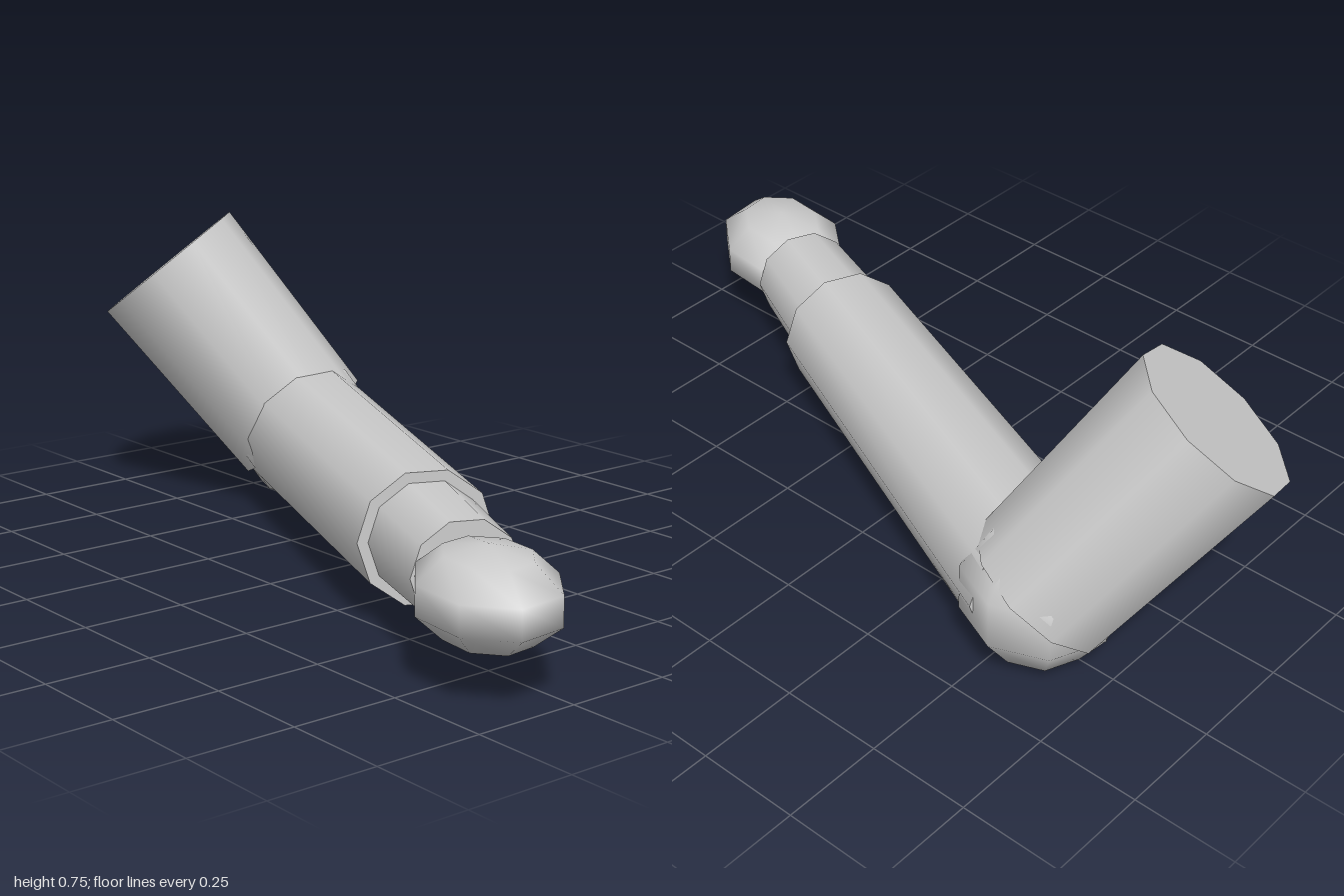
import * as THREE from 'three';

export function createModel() {
  const group = new THREE.Group();
  group.name = 'arm';
  const grey = new THREE.MeshStandardMaterial({ color: 0xcccccc });
  grey.name = 'light grey';

  const add = (name, geometry) => {
    const mesh = new THREE.Mesh(geometry, grey);
    mesh.name = name;
    group.add(mesh);
    return mesh;
  };

  // Ten-sided tapered limb between two points, with one corner pair lying level
  const limb = (name, from, to, rFrom, rTo) => {
    const dir = to.clone().sub(from);
    const mesh = add(name, new THREE.CylinderGeometry(rTo, rFrom, dir.length(), 10));
    dir.normalize();
    const level = dir.clone().cross(new THREE.Vector3(0, 1, 0)).normalize();
    const side = dir.clone().cross(level);
    mesh.quaternion.setFromRotationMatrix(new THREE.Matrix4().makeBasis(side, dir, level));
    mesh.position.copy(from).add(to).multiplyScalar(0.5);
  };

  // Low-poly ball with upright poles
  const ball = (name, center, rx, ry, rz, turn = 0) => {
    const mesh = add(name, new THREE.SphereGeometry(1, 8, 5));
    mesh.scale.set(rx, ry, rz);
    mesh.rotation.y = turn;
    mesh.position.copy(center);
  };

  const shoulder = new THREE.Vector3(0.03, 0.625, -0.813);
  const elbow = new THREE.Vector3(0.28, 0.193, -0.566);
  const cuff = new THREE.Vector3(-0.145, 0.193, 0.43);
  const wristEnd = new THREE.Vector3(-0.253, 0.193, 0.682);
  const hand = new THREE.Vector3(-0.31, 0.194, 0.81);

  limb('upperArm', elbow, shoulder, 0.188, 0.206);
  ball('elbow', elbow, 0.19, 0.19, 0.19);
  limb('forearm', elbow, cuff, 0.175, 0.157);
  limb('wrist', cuff, wristEnd, 0.132, 0.121);

  // Hand, longest along the forearm
  ball('hand', hand, 0.16, 0.107, 0.214, Math.atan2(cuff.x - elbow.x, cuff.z - elbow.z));

  return group;
}
